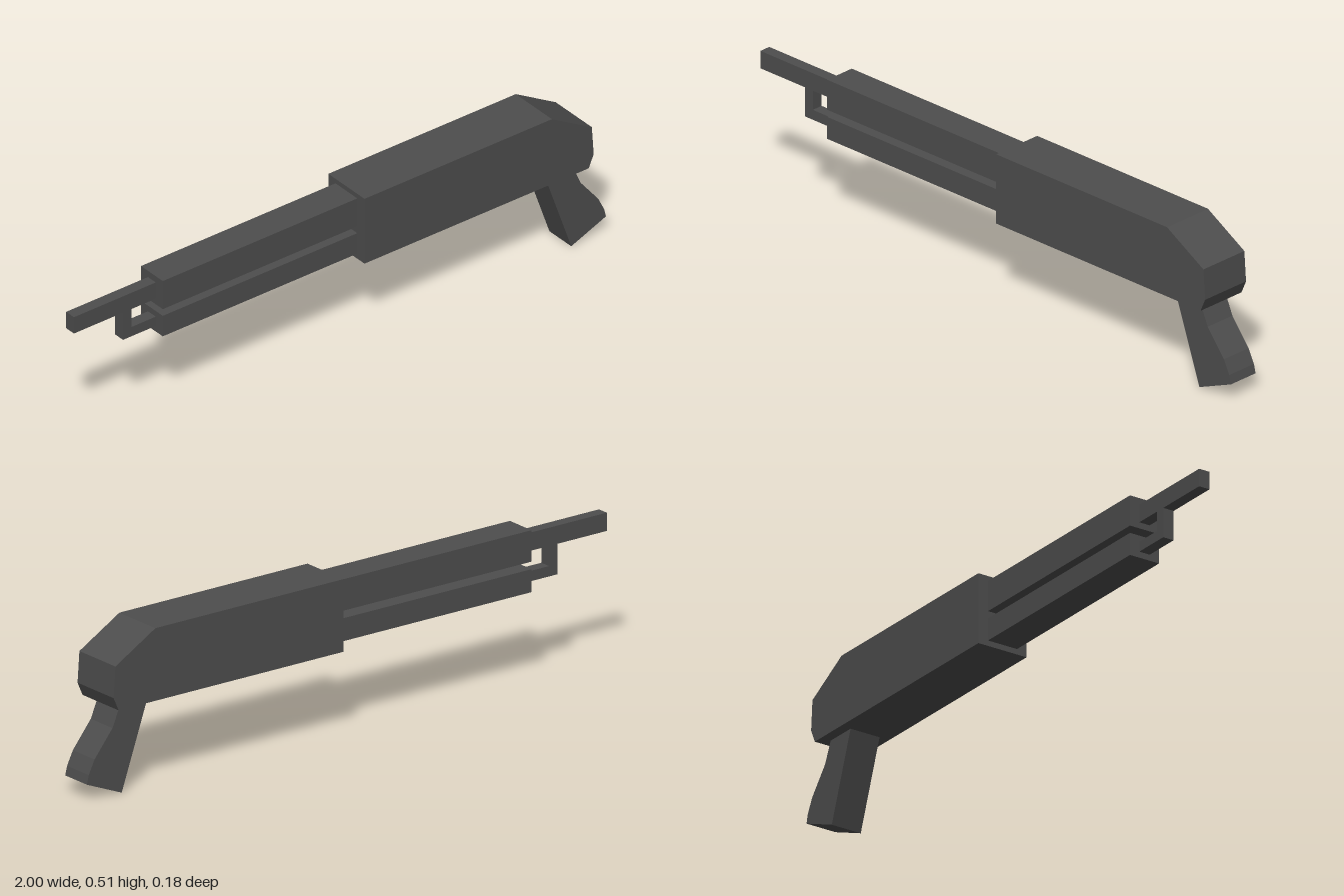
import * as THREE from 'three';

const material = new THREE.MeshStandardMaterial({ color: 0x4d4d4d, flatShading: true });

// Side outline (x, y) extruded to a depth centred on z = 0
function slab(name, points, depth) {
  const shape = new THREE.Shape(points.map(([x, y]) => new THREE.Vector2(x, y)));
  const geometry = new THREE.ExtrudeGeometry(shape, { depth, bevelEnabled: false });
  geometry.translate(0, 0, -depth / 2);
  const mesh = new THREE.Mesh(geometry, material);
  mesh.name = name;
  return mesh;
}

// Box given by its x and y limits
function bar(name, x0, x1, y0, y1, depth) {
  const mesh = new THREE.Mesh(new THREE.BoxGeometry(x1 - x0, y1 - y0, depth), material);
  mesh.position.set((x0 + x1) / 2, (y0 + y1) / 2, 0);
  mesh.name = name;
  return mesh;
}

export function createModel() {
  const model = new THREE.Group();
  model.name = 'shotgun';

  // Receiver with sloped rear
  model.add(slab('receiver', [
    [0.053, 0.282], [0.907, 0.282], [0.926, 0.325], [0.919, 0.424], [0.767, 0.513], [0.053, 0.513],
  ], 0.176));

  // Curved pistol grip
  model.add(slab('grip', [
    [0.77, 0.282], [0.868, 0.002], [1, 0.056], [0.993, 0.085],
    [0.971, 0.13], [0.903, 0.215], [0.874, 0.282],
  ], 0.106));

  // Barrel shroud and fore-end
  model.add(bar('barrelShroud', -0.688, 0.053, 0.397, 0.497, 0.106));
  model.add(bar('foreEnd', -0.688, 0.053, 0.3, 0.373, 0.106));

  // Thin muzzle and the L-shaped bracket below it
  model.add(bar('muzzle', -1, -0.688, 0.417, 0.475, 0.038));
  model.add(slab('muzzleBracket', [
    [-0.813, 0.32], [-0.688, 0.32], [-0.688, 0.353], [-0.781, 0.353], [-0.781, 0.417], [-0.813, 0.417],
  ], 0.038));

  return model;
}
